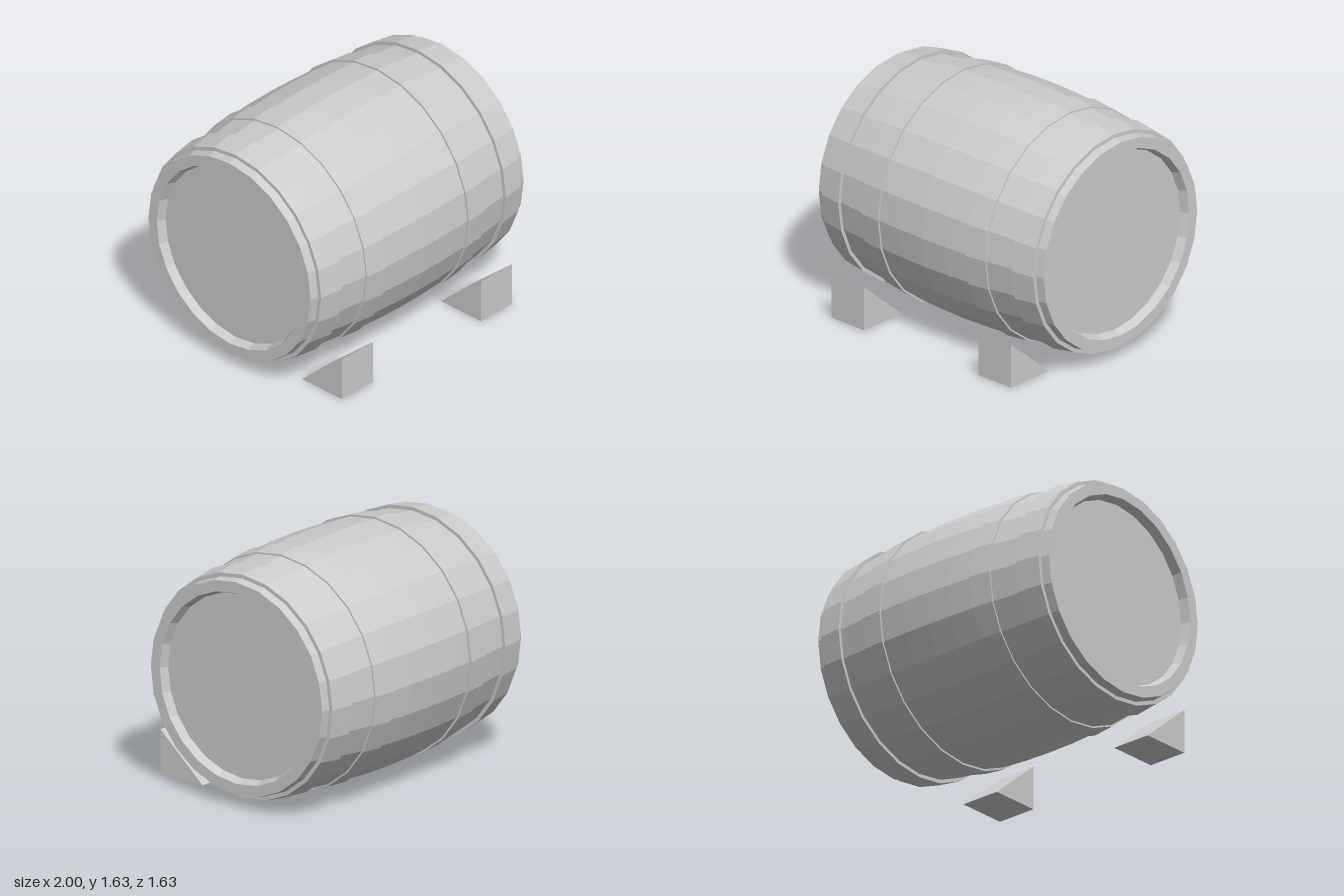
import * as THREE from 'three';

const SIDES = 24;
const CENTRE_Y = 0.818;

// Radius of the bulging staves at a distance x from the middle
const bulge = (x) => 0.817 - 0.09 * x * x;

export function createModel() {
  const model = new THREE.Group();
  const grey = new THREE.MeshStandardMaterial({ color: 0xcccccc, flatShading: true });
  grey.name = 'plain grey';

  // Revolves [radius, x] pairs (running towards +x on the outside) about the barrel's axis
  const revolve = (name, profile) => {
    const geometry = new THREE.LatheGeometry(profile.map(([r, x]) => new THREE.Vector2(r, x)), SIDES);
    geometry.rotateZ(-Math.PI / 2);
    const mesh = new THREE.Mesh(geometry, grey);
    mesh.name = name;
    mesh.position.y = CENTRE_Y;
    model.add(mesh);
  };

  // Body: recessed heads, flat rims and bulging staves in one closed profile
  const staves = [-1, -0.94, -0.77, -0.55, -0.39, -0.2, 0, 0.2, 0.39, 0.55, 0.77, 0.94, 1];
  revolve('barrelBody', [
    [0, -0.94], [0.63, -0.94], [0.652, -1],
    ...staves.map((x) => [bulge(x), x]),
    [0.652, 1], [0.63, 0.94], [0, 0.94],
  ]);

  // Hoops: two at each end, standing slightly proud of the staves
  const hoops = [
    { name: 'innerHoop', near: 0.39, far: 0.55, rNear: 0.817, rFar: 0.801 },
    { name: 'outerHoop', near: 0.77, far: 0.94, rNear: 0.788, rFar: 0.764 },
  ];
  for (const { name, near, far, rNear, rFar } of hoops) {
    const section = [[bulge(near) - 0.01, near], [rNear, near], [rFar, far], [bulge(far) - 0.01, far]];
    revolve(name + 'Left', section);
    revolve(name + 'Right', section.map(([r, x]) => [r, -x]).reverse());
  }

  // Wedges: triangular chocks along the front, tapering in under the barrel
  const width = 0.29;
  const triangle = new THREE.Shape([
    new THREE.Vector2(0.46, 0.003), new THREE.Vector2(0.818, 0.003), new THREE.Vector2(0.818, 0.31),
  ]);
  const wedgeGeometry = new THREE.ExtrudeGeometry(triangle, { depth: width, bevelEnabled: false });
  wedgeGeometry.translate(0, 0, -width / 2);
  wedgeGeometry.rotateY(-Math.PI / 2);
  for (const [name, x] of [['wedgeLeft', 0.65], ['wedgeRight', -0.657]]) {
    const wedge = new THREE.Mesh(wedgeGeometry, grey);
    wedge.name = name;
    wedge.position.x = x;
    model.add(wedge);
  }

  return model;
}
